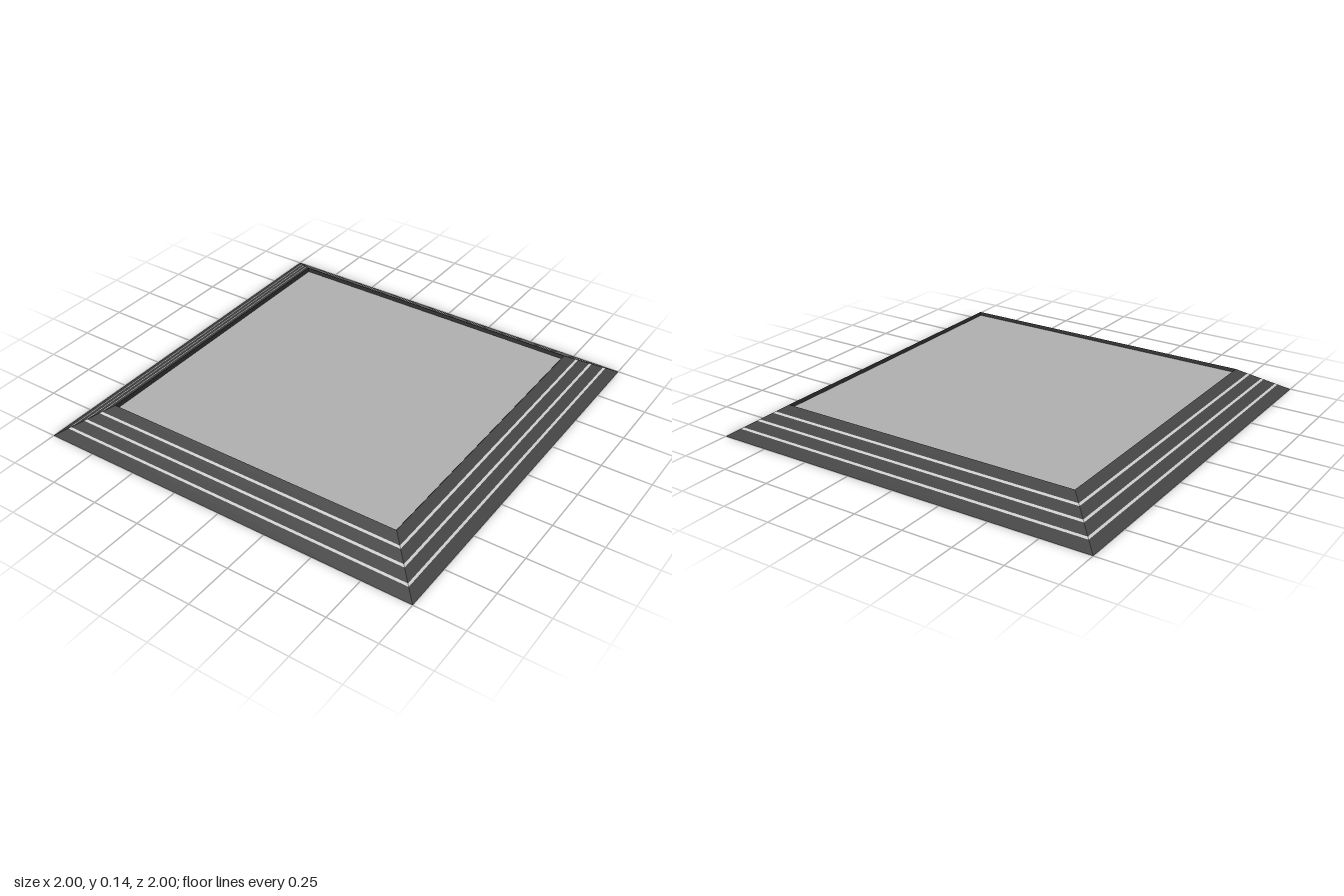
import * as THREE from 'three';

const TOP = 0.136, RIM = 0.785, PANEL = 0.775, PANEL_Y = 0.121;

const material = (color) => new THREE.MeshStandardMaterial({ color, flatShading: true });
const dark = material(0x444444);
const black = material(0x222222);
const light = material(0xcccccc);
const grey = material(0xb0b0b0);

// Square ring through [half width, height] pairs, listed from outside to inside
function squareRing(name, profile, mat) {
  const points = profile.map(([half, y]) => new THREE.Vector2(half * Math.SQRT2, y));
  const mesh = new THREE.Mesh(new THREE.LatheGeometry(points, 4, Math.PI / 4), mat);
  mesh.name = name;
  return mesh;
}

// Flat square facing up or down
function square(name, half, y, up, mat) {
  const geometry = new THREE.PlaneGeometry(half * 2, half * 2).rotateX(up ? -Math.PI / 2 : Math.PI / 2);
  const mesh = new THREE.Mesh(geometry, mat);
  mesh.position.y = y;
  mesh.name = name;
  return mesh;
}

// Point on the sloping side at fraction t of its height
const slope = (t) => [1 - (1 - RIM) * t, TOP * t];

export function createModel() {
  const model = new THREE.Group();
  model.name = 'bevelledPlatform';

  // Sloping sides: dark bands separated by three thin light stripes
  const halfStripe = 0.023;
  let start = 0;
  for (const t of [0.26, 0.515, 0.765]) {
    model.add(squareRing('sideBand', [slope(start), slope(t - halfStripe)], dark));
    model.add(squareRing('sideStripe', [slope(t - halfStripe), slope(t + halfStripe)], light));
    start = t + halfStripe;
  }
  model.add(squareRing('sideBand', [slope(start), slope(1)], dark));

  // Shallow lip down to the slightly sunken top panel
  model.add(squareRing('innerLip', [[RIM, TOP], [PANEL, PANEL_Y]], black));
  model.add(square('topPanel', PANEL, PANEL_Y, true, grey));

  // Underside
  model.add(square('underside', 1, 0, false, dark));
  return model;
}
